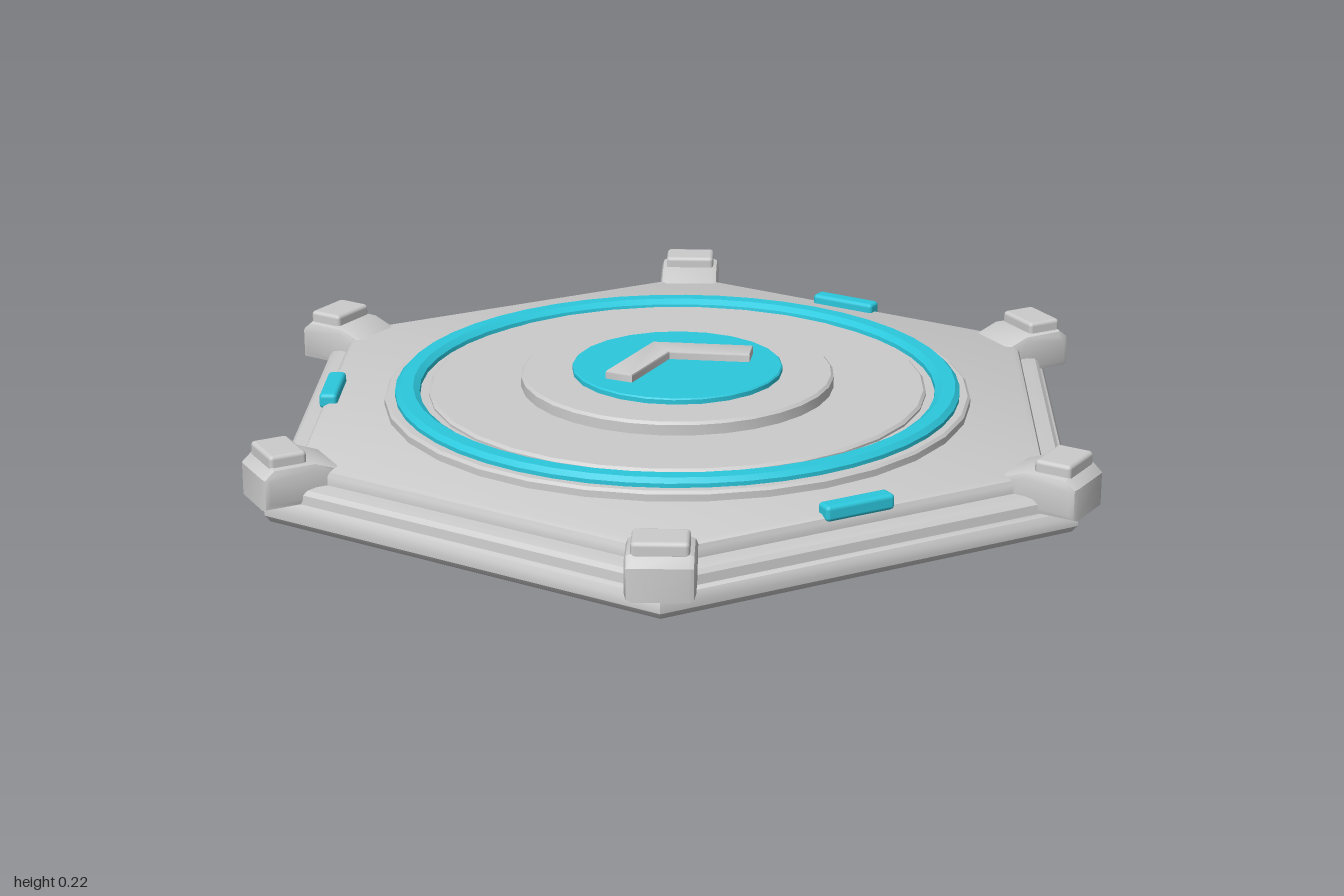
import * as THREE from 'three';
import { toCreasedNormals } from 'three/addons/utils/BufferGeometryUtils.js';
import { RoundedBoxGeometry } from 'three/addons/geometries/RoundedBoxGeometry.js';

const grey = new THREE.MeshStandardMaterial({ color: 0xcccccc });
const cyan = new THREE.MeshStandardMaterial({ color: 0x2cc8dd });

function addMesh(parent, name, geometry, material = grey) {
  const mesh = new THREE.Mesh(geometry, material);
  mesh.name = name;
  parent.add(mesh);
  return mesh;
}

// Turned profile of [radius, height] points, from bottom to top
function turned(points, sides) {
  const profile = points.map(([r, y]) => new THREE.Vector2(r, y));
  return toCreasedNormals(new THREE.LatheGeometry(profile, sides, Math.PI / 2), 0.5);
}

// Flat disc with a small bevel on its upper edge
function disc(radius, bottom, top, sides, bevel = 0.006) {
  return turned([[radius, bottom], [radius, top - bevel], [radius - bevel, top], [0, top]], sides);
}

// Bevelled extrusion of an outline, grown outwards by the bevel
function bevelled(points, depth, bevel) {
  const shape = new THREE.Shape(points.map(([x, y]) => new THREE.Vector2(x, y)));
  const geometry = new THREE.ExtrudeGeometry(shape, {
    depth: depth - 2 * bevel, bevelEnabled: true,
    bevelSize: bevel, bevelThickness: bevel, bevelSegments: 2,
  });
  geometry.translate(0, 0, bevel - depth / 2);
  return toCreasedNormals(geometry, 0.6);
}

export function createModel() {
  const model = new THREE.Group();
  model.name = 'hexagonalPad';

  // Hexagonal base with rounded lower edge and rim
  addMesh(model, 'base', turned([
    [0, 0], [0.945, 0], [0.962, 0.007], [0.975, 0.022], [0.976, 0.04], [0.968, 0.055],
    [0.957, 0.06], [0.955, 0.08], [0.945, 0.089], [0.925, 0.093], [0, 0.093],
  ], 6));
  addMesh(model, 'deck', turned([
    [0.9, 0.09], [0.9, 0.112], [0.895, 0.12], [0.882, 0.126], [0, 0.126],
  ], 6));

  // Stacked round tiers
  addMesh(model, 'lowerTier', disc(0.645, 0.12, 0.147, 32));
  addMesh(model, 'middleTier', disc(0.548, 0.14, 0.158, 32));
  addMesh(model, 'upperTier', disc(0.345, 0.15, 0.187, 32));
  addMesh(model, 'centreDisc', disc(0.232, 0.18, 0.2, 24, 0.003), cyan);

  // Glowing ring
  addMesh(model, 'lightRing', turned([
    [0.566, 0.142], [0.622, 0.142], [0.622, 0.156], [0.612, 0.166],
    [0.582, 0.166], [0.568, 0.156], [0.566, 0.142],
  ].map(([r, y]) => [r, y]), 48), cyan);

  // Chevron pointing to the back
  const chevron = bevelled([
    [0, 0.111], [-0.177, -0.014], [-0.145, -0.058], [0, 0.044], [0.145, -0.058], [0.177, -0.014],
  ], 0.024, 0.005);
  chevron.rotateX(-Math.PI / 2);
  addMesh(model, 'chevron', chevron).position.y = 0.207;

  // Corner posts with a sloped inner side and a small cap
  const postGeometry = bevelled([
    [0.84, 0.07], [0.985, 0.07], [0.985, 0.12], [0.97, 0.133], [0.885, 0.133], [0.84, 0.115],
  ], 0.14, 0.014);
  const capGeometry = new RoundedBoxGeometry(0.082, 0.035, 0.115, 2, 0.009);
  for (let i = 0; i < 6; i++) {
    const corner = new THREE.Group();
    corner.name = 'cornerPost' + (i + 1);
    corner.rotation.y = (i * Math.PI) / 3;
    addMesh(corner, 'post', postGeometry);
    addMesh(corner, 'cap', capGeometry).position.set(0.938, 0.154, 0);
    model.add(corner);
  }

  // Edge lights on every other side
  const lightGeometry = new RoundedBoxGeometry(0.16, 0.034, 0.04, 2, 0.009);
  for (let i = 0; i < 3; i++) {
    const side = new THREE.Group();
    side.name = 'edgeLight' + (i + 1);
    side.rotation.y = (i * 2 * Math.PI) / 3;
    addMesh(side, 'light', lightGeometry, cyan).position.set(0, 0.13, 0.765);
    model.add(side);
  }
  return model;
}
